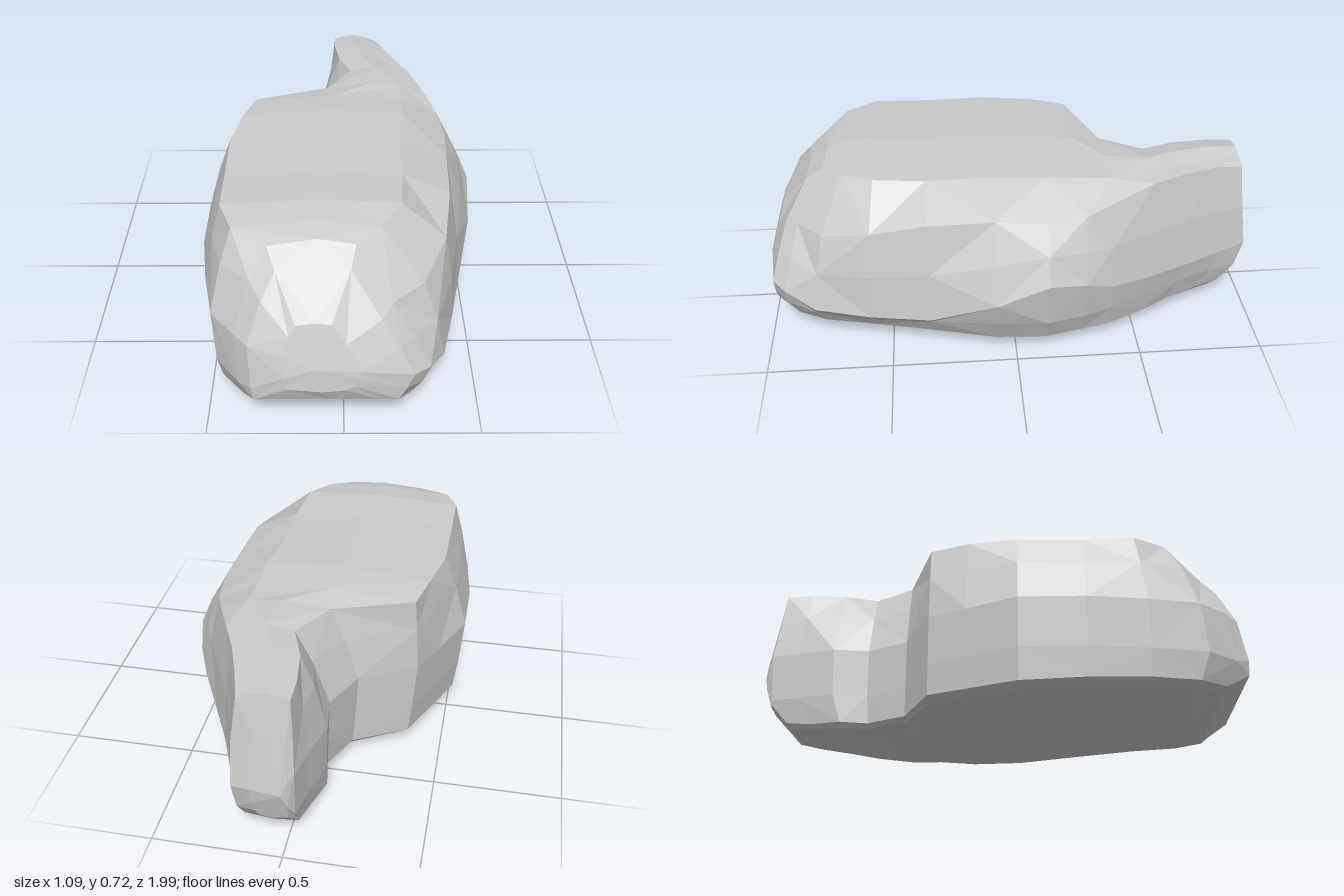
import * as THREE from 'three';

// Cross-sections from back to front:
// [z, wallLeft, topLeft, topRight, wallRight, widestY, shoulderY, topY, bottomY]
const SECTIONS = [
  [-0.98, -0.045, -0.03, 0.16, 0.185, 0.30, 0.66, 0.685, 0.05],
  [-0.86, -0.07, -0.03, 0.19, 0.22, 0.28, 0.68, 0.69, 0.035],
  [-0.70, -0.11, -0.01, 0.24, 0.285, 0.27, 0.685, 0.695, 0.03],
  [-0.55, -0.09, 0.04, 0.30, 0.36, 0.28, 0.685, 0.70, 0.03],
  [-0.38, -0.17, -0.06, 0.37, 0.45, 0.31, 0.65, 0.70, 0.03],
  [-0.27, -0.39, -0.37, 0.41, 0.50, 0.36, 0.62, 0.70, 0.03],
  [-0.12, -0.46, -0.41, 0.43, 0.54, 0.39, 0.61, 0.71, 0.025],
  [0.08, -0.55, -0.45, 0.42, 0.53, 0.30, 0.62, 0.705, 0.02],
  [0.34, -0.55, -0.45, 0.41, 0.47, 0.20, 0.61, 0.70, 0.03],
  [0.58, -0.52, -0.45, 0.38, 0.42, 0.19, 0.56, 0.705, 0.04],
  [0.80, -0.48, -0.40, 0.29, 0.37, 0.20, 0.50, 0.69, 0.04],
  [0.92, -0.39, -0.27, 0.17, 0.31, 0.25, 0.49, 0.67, 0.05],
];

// Outline of the two ends: [height, back reach, front reach]
const ENDS = [
  [0.00, 0.84, 0.88], [0.05, 0.87, 0.92], [0.15, 0.96, 1.00],
  [0.28, 1.00, 0.995], [0.50, 0.965, 0.92], [0.67, 0.945, 0.79], [0.75, 0.94, 0.72],
];

function reach(y, column) {
  let i = 0;
  while (i < ENDS.length - 2 && y > ENDS[i + 1][0]) i++;
  const a = ENDS[i], b = ENDS[i + 1];
  return THREE.MathUtils.lerp(a[column], b[column], (y - a[0]) / (b[0] - a[0]));
}

// Pulls the ends in at the top and bottom, leaving the middle unchanged
function shapeEnd(x, y, z) {
  const r = reach(y, z < 0 ? 1 : 2), depth = Math.abs(z);
  const d = depth < 0.5 ? depth : 0.5 + (depth - 0.5) * (r - 0.5) / 0.5;
  return [x, y, Math.sign(z) * d];
}

// One ring, counter-clockwise from the bottom right
function ring([z, xl, tl, tr, xr, yw, ys, yt, yb]) {
  const w = xr - xl;
  return [
    [xr - 0.20 * w, yb],
    [xr - 0.09 * w, yb + 0.045],
    [xr - 0.04 * w, Math.min(0.18, yw - 0.04)],
    [xr, yw],
    [(xr + tr) / 2 + 0.01, (yw + ys) / 2],
    [tr, ys],
    [tr - 0.18 * w, yt - 0.005],
    [(tl + tr) / 2 - 0.06 * w, yt + 0.01],
    [tl, yt - 0.01],
    [(xl + tl) / 2, 0.56],
    [xl, 0.38],
    [xl + 0.015 * w, 0.18],
    [xl + 0.03 * w, yb + 0.03],
    [xl + 0.08 * w, yb + 0.01],
    [(xl + xr) / 2, yb - 0.02],
  ].map(([x, y]) => [x, y, z]);
}

// Smaller copy of a ring, kept above a floor, used to round off an end
function inset(points, scale, z, cx, cy, floor) {
  return points.map(([x, y]) => [
    cx + (x - cx) * scale, Math.max(floor, cy + (y - cy) * scale), z,
  ]);
}

export function createModel() {
  const body = SECTIONS.map(ring);
  const tail = body[0], nose = body[body.length - 1];
  const rings = [
    inset(tail, 0.6, -0.995, 0.01, 0.32, 0.14),
    ...body,
    inset(nose, 0.84, 0.975, -0.07, 0.32, 0.145),
    inset(nose, 0.4, 1, -0.1, 0.32, 0.145),
  ];
  const n = rings[0].length, last = rings.length - 1;

  const positions = rings.flat().flatMap((p) => shapeEnd(...p));
  const back = positions.length / 3, front = back + 1;
  positions.push(...shapeEnd(0, 0.3, -1), ...shapeEnd(-0.1, 0.3, 1));

  // Skin between the rings, then a fan over each end
  const index = [];
  for (let i = 0; i < n; i++) {
    const j = (i + 1) % n;
    for (let s = 0; s < last; s++) {
      const a = s * n + i, b = s * n + j, c = b + n, d = a + n;
      if ((s + i) % 2) index.push(a, b, c, a, c, d);
      else index.push(a, b, d, b, c, d);
    }
    index.push(back, j, i, front, last * n + i, last * n + j);
  }

  const geometry = new THREE.BufferGeometry();
  geometry.setAttribute('position', new THREE.Float32BufferAttribute(positions, 3));
  geometry.setIndex(index);
  geometry.computeVertexNormals();

  const rock = new THREE.Mesh(
    geometry,
    new THREE.MeshStandardMaterial({ color: 0xcccccc, flatShading: true }),
  );
  rock.name = 'rock';
  const group = new THREE.Group();
  group.name = 'boulder';
  group.add(rock);
  return group;
}
